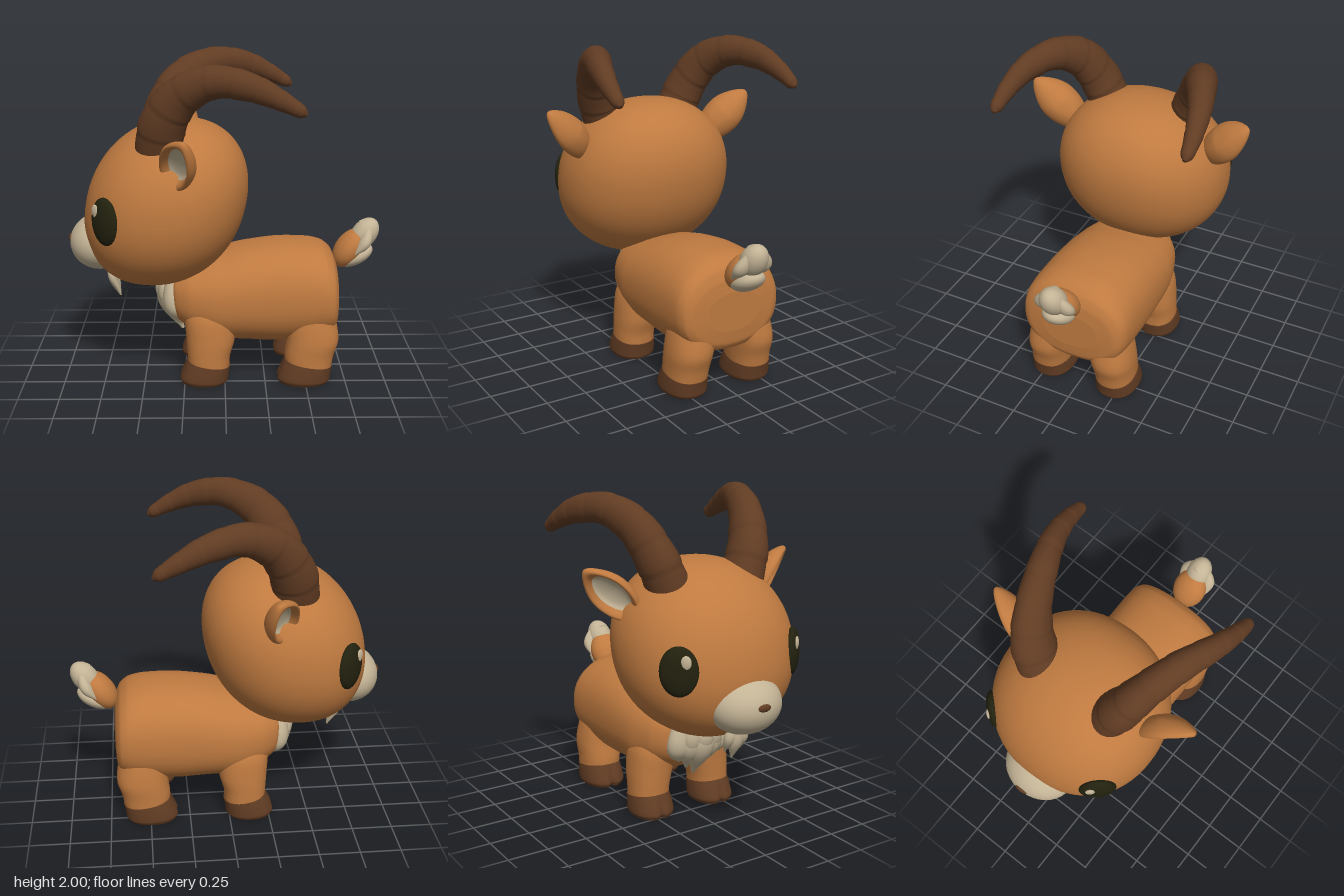
import * as THREE from 'three';
import { mergeVertices } from 'three/addons/utils/BufferGeometryUtils.js';

const paint = (name, color) => {
  const m = new THREE.MeshStandardMaterial({ color });
  m.name = name;
  return m;
};

// Smooth loft through sections [x, y, z, half width across z, other half width]
function loft(sections, { axis, n = 2, rows = 32, cols = 36, mod = () => 1, warp } = {}) {
  const path = new THREE.CatmullRomCurve3(sections.map(s => new THREE.Vector3(s[0], s[1], s[2])));
  const size = new THREE.CatmullRomCurve3(sections.map(s => new THREE.Vector3(s[3], s[4], 0)));
  const pos = [], idx = [];
  const bend = c => Math.sign(c) * Math.abs(c) ** (2 / n);
  for (let i = 0; i <= rows; i++) {
    const t = i / rows, c = path.getPoint(t), r = size.getPoint(t);
    const T = axis || path.getTangent(t);
    const U = new THREE.Vector3(0, 0, 1).addScaledVector(T, -T.z).normalize();
    const V = U.clone().cross(T);
    for (let j = 0; j < cols; j++) {
      const a = j / cols * Math.PI * 2, k = mod(t, a);
      const p = c.clone().addScaledVector(U, bend(Math.cos(a)) * r.x * k)
        .addScaledVector(V, bend(Math.sin(a)) * r.y * k);
      if (warp) warp(p);
      pos.push(p.x, p.y, p.z);
    }
  }
  for (let i = 0; i < rows; i++) for (let j = 0; j < cols; j++) {
    const a = i * cols + j, b = i * cols + (j + 1) % cols;
    idx.push(a, a + cols, b, b, a + cols, b + cols);
  }
  // End caps have their own vertices so their edges stay crisp
  for (const [row, flip] of [[0, false], [rows, true]]) {
    const base = pos.length / 3, mid = [0, 0, 0];
    for (let j = 0; j < cols; j++) for (let k = 0; k < 3; k++) {
      const v = pos[(row * cols + j) * 3 + k];
      pos.push(v);
      mid[k] += v / cols;
    }
    pos.push(...mid);
    for (let j = 0; j < cols; j++) {
      const a = base + j, b = base + (j + 1) % cols;
      idx.push(base + cols, flip ? b : a, flip ? a : b);
    }
  }
  const g = new THREE.BufferGeometry();
  g.setAttribute('position', new THREE.Float32BufferAttribute(pos, 3));
  g.setIndex(idx);
  g.computeVertexNormals();
  return g;
}

// Moves every vertex by a rule and smooths the result
function reshape(geo, rule) {
  geo.deleteAttribute('uv');
  geo.deleteAttribute('normal');
  const g = mergeVertices(geo, 1e-5), p = g.attributes.position, v = new THREE.Vector3();
  for (let i = 0; i < p.count; i++) {
    rule(v.fromBufferAttribute(p, i));
    p.setXYZ(i, v.x, v.y, v.z);
  }
  g.computeVertexNormals();
  return g;
}

export function createModel() {
  const root = new THREE.Group();
  root.name = 'goat';
  const coat = paint('coat', 0xbf7a40), horn = paint('horn', 0x613c23);
  const cream = paint('cream', 0xc4b496), dark = paint('eyeDark', 0x23220f);
  const X = new THREE.Vector3(1, 0, 0), Y = new THREE.Vector3(0, 1, 0);

  const add = (name, geo, mat, parent = root) => {
    const m = new THREE.Mesh(geo, mat);
    m.name = name;
    parent.add(m);
    return m;
  };
  const ball = (name, mat, at, r, tilt = 0, parent = root) => {
    const m = add(name, new THREE.SphereGeometry(1, 36, 24), mat, parent);
    m.position.set(...at);
    m.scale.set(...r);
    m.rotation.z = tilt;
    return m;
  };
  // Lock of hair: fat near the root, pointed at the end
  const tuft = (name, a, b, c, r) => add(name, loft([
    [...a, r * 0.6, r * 0.5], [...b, r, r * 0.75], [...c, r * 0.12, r * 0.12],
  ], { rows: 18, cols: 18 }), cream);

  // Body, lofted from chest to rump
  add('body', loft([
    [-0.34, 0.56, 0, 0.12, 0.08], [-0.31, 0.53, 0, 0.22, 0.16], [-0.22, 0.52, 0, 0.29, 0.22],
    [-0.05, 0.51, 0, 0.335, 0.275], [0.12, 0.525, 0, 0.345, 0.3], [0.35, 0.535, 0, 0.35, 0.32],
    [0.53, 0.54, 0, 0.35, 0.31], [0.62, 0.54, 0, 0.345, 0.285], [0.67, 0.53, 0, 0.325, 0.25],
    [0.695, 0.52, 0, 0.28, 0.2], [0.705, 0.52, 0, 0.18, 0.12],
  ], { axis: X, n: 2.3, rows: 60, cols: 48 }), coat);

  // Head, a full rounded form leaning slightly back at the top
  add('head', reshape(new THREE.SphereGeometry(1, 64, 48), v => {
    const n = 2.15;
    v.divideScalar((Math.abs(v.x) ** n + Math.abs(v.y) ** n + Math.abs(v.z) ** n) ** (1 / n));
    v.set(-0.36 + v.x * 0.495 + v.y * 0.09, 1.105 + v.y * 0.515, v.z * 0.545);
  }), coat);

  // Muzzle and nose
  ball('muzzle', cream, [-0.77, 0.85, 0], [0.195, 0.175, 0.23], 0.1);
  ball('nose', horn, [-0.955, 0.868, 0], [0.018, 0.025, 0.045], 0.3);

  for (const s of [1, -1]) {
    // Legs with cloven hooves
    const legs = {
      front: [[-0.1, 0.08, 0.225, 0.122, 0.125], [-0.1, 0.17, 0.222, 0.125, 0.132],
        [-0.09, 0.27, 0.21, 0.135, 0.15], [-0.09, 0.4, 0.19, 0.14, 0.16], [-0.09, 0.52, 0.16, 0.12, 0.14]],
      rear: [[0.52, 0.08, 0.225, 0.122, 0.14], [0.525, 0.17, 0.22, 0.128, 0.152],
        [0.545, 0.27, 0.215, 0.135, 0.16], [0.54, 0.4, 0.19, 0.14, 0.15], [0.54, 0.52, 0.16, 0.12, 0.12]],
    };
    for (const [end, secs] of Object.entries(legs)) {
      add(end + 'Leg', loft(secs.map(([x, y, z, a, b]) => [x, y, s * z, a, b]),
        { axis: Y, n: 2.25 }), coat);
      const cx = secs[0][0], b = secs[0][4];
      add(end + 'Hoof', loft([
        [cx - 0.03, 0, s * 0.225, 0.122, b + 0.015], [cx - 0.03, 0.025, s * 0.225, 0.135, b + 0.026],
        [cx - 0.015, 0.08, s * 0.225, 0.132, b + 0.017], [cx, 0.125, s * 0.225, 0.126, b + 0.008],
      ], {
        axis: Y, n: 2.25, cols: 64,
        mod: (t, a) => 1 - 0.2 * (1 - t) * Math.exp(-(((a - Math.PI / 2) / 0.1) ** 2)),
        warp: p => { p.y -= (p.x - cx) * 0.15 * p.y / 0.125; },
      }), horn);
    }

    // Ringed horn sweeping up, back and out
    add('horn', loft([
      [-0.39, 1.43, 0.24, 0.13, 0.145], [-0.36, 1.64, 0.32, 0.118, 0.138], [-0.25, 1.815, 0.39, 0.1, 0.12],
      [-0.06, 1.905, 0.47, 0.085, 0.095], [0.14, 1.885, 0.545, 0.068, 0.08], [0.3, 1.82, 0.58, 0.052, 0.058],
      [0.42, 1.755, 0.59, 0.035, 0.036], [0.447, 1.74, 0.59, 0.012, 0.012],
    ].map(([x, y, z, a, b]) => [x, y, s * z, a, b]), {
      rows: 110, cols: 28,
      mod: t => {
        const f = (t * 10) % 1;
        return t > 0.9 ? 1 : 0.97 + 0.06 * Math.min(1, f / 0.15) * (1 - f * 0.8);
      },
    }), horn);

    // Cupped ear, tip up and out, opening forward and outward
    const L = new THREE.Vector3(0.08, 0.27, s * 0.27).normalize();
    const N = new THREE.Vector3(-0.6, -0.3, s * 0.55);
    N.addScaledVector(L, -N.dot(L)).normalize();
    const ear = new THREE.Group();
    ear.name = 'ear';
    ear.applyMatrix4(new THREE.Matrix4().makeBasis(N.clone().cross(L), N, L).setPosition(-0.27, 1.455, s * 0.565));
    root.add(ear);
    const cup = pts => reshape(
      new THREE.LatheGeometry(new THREE.SplineCurve(pts.map(p => new THREE.Vector2(...p))).getPoints(20), 40),
      v => {
        const tip = Math.max(0, v.z);
        v.set(v.x * 0.122 * (1 - 0.4 * tip * tip), v.y * (1 - 0.3 * tip), v.z * 0.215);
      });
    add('earShell', cup([[0, -0.1], [0.5, -0.085], [0.85, -0.045], [1, 0], [0.92, 0.03], [0.78, 0.025], [0.64, -0.01]]), coat, ear);
    add('earLining', cup([[0.65, -0.008], [0.5, -0.025], [0.25, -0.035], [0, -0.038]]), cream, ear);

    // Eye with a highlight towards the nose
    const eye = new THREE.Group();
    eye.name = 'eye';
    eye.position.set(-0.703, 1.08, s * 0.398);
    eye.rotation.y = Math.atan2(-0.73, s * 0.68);
    root.add(eye);
    ball('eyeball', dark, [0, 0, 0], [0.112, 0.145, 0.045], 0, eye);
    ball('eyeHighlight', cream, [-s * 0.045, 0.062, 0.034], [0.03, 0.04, 0.012], 0, eye);
  }

  // Chin beard
  tuft('beard', [-0.71, 0.72, 0], [-0.7, 0.61, 0], [-0.66, 0.485, 0], 0.048);
  for (const s of [1, -1]) {
    tuft('beard', [-0.7, 0.72, s * 0.03], [-0.705, 0.63, s * 0.045], [-0.665, 0.535, s * 0.055], 0.038);
  }

  // Layered chest fur
  for (let i = -2; i <= 2; i++) {
    const k = Math.abs(i);
    tuft('chestFur', [-0.34 + k * 0.01, 0.66, i * 0.055], [-0.365 + k * 0.022, 0.48, i * 0.068],
      [-0.265, 0.26 + k * 0.045, i * 0.05], 0.085);
  }
  for (const i of [-1, 0, 1]) {
    tuft('chestFur', [-0.36, 0.66, i * 0.06], [-0.39 + 0.02 * Math.abs(i), 0.53, i * 0.075],
      [-0.34, 0.37, i * 0.07], 0.065);
  }

  // Tail: coat coloured root with a pale tip and underside
  ball('tailRoot', coat, [0.785, 0.795, 0], [0.14, 0.085, 0.11], 0.95);
  ball('tailTip', cream, [0.875, 0.885, 0], [0.115, 0.078, 0.08], 0.95);
  ball('tailUnderside', cream, [0.82, 0.748, 0], [0.12, 0.06, 0.095], 0.45);
  for (const s of [1, -1]) {
    tuft('tailFur', [0.9, 0.93, s * 0.035], [0.87, 0.85, s * 0.075], [0.8, 0.77, s * 0.095], 0.05);
  }
  tuft('tailFur', [0.84, 0.94, 0], [0.89, 0.94, 0], [0.955, 0.9, 0], 0.055);

  return root;
}
